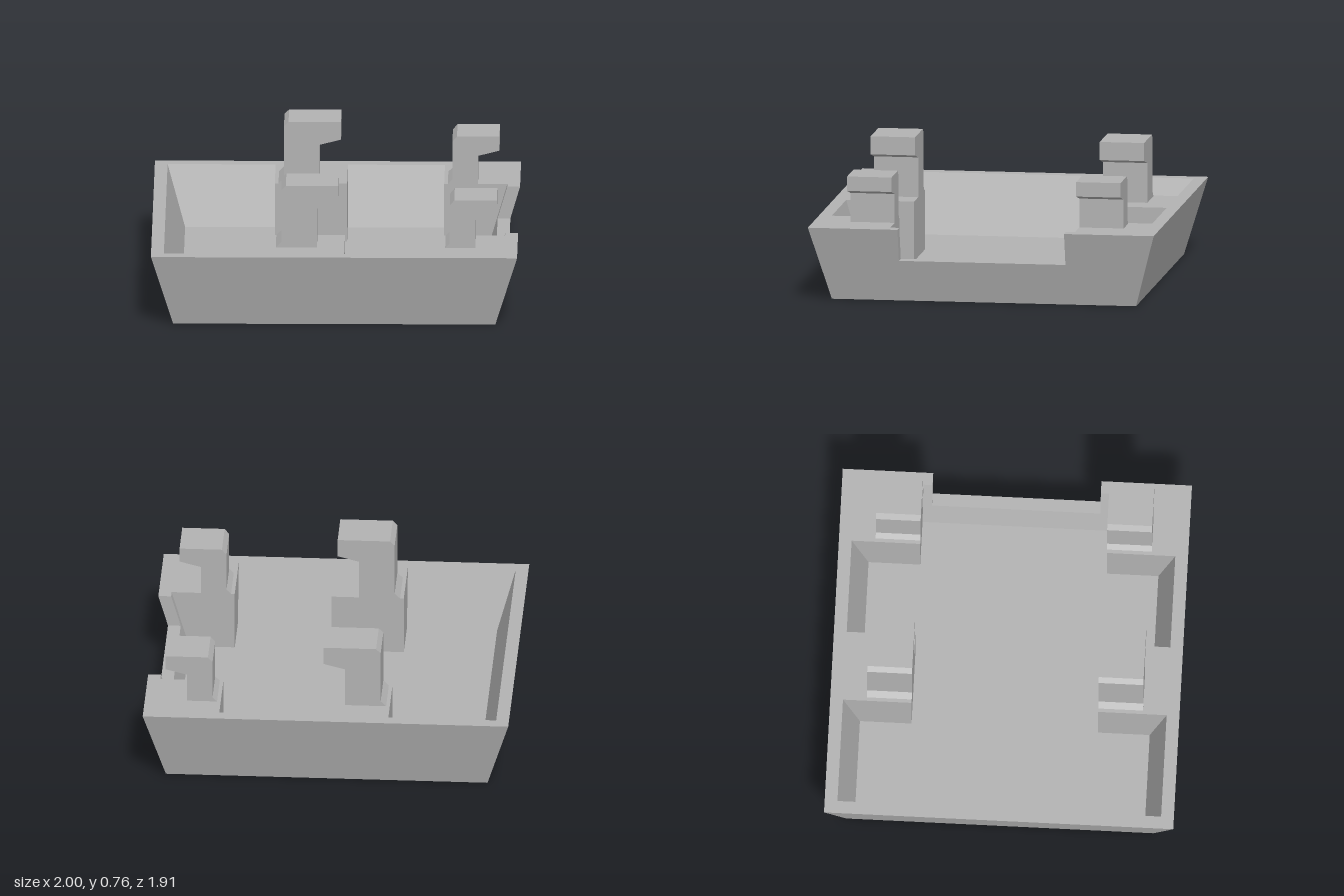
import * as THREE from 'three';

const RIM = 0.41, FLOOR = 0.08, NOTCH = 0.23, GROOVE = 0.015, WALL = 0.07;
// Sloping outer faces, and inner faces one wall thickness in
const X = (y) => 0.88 + (0.12 * y) / RIM;
const Z = (y) => 0.84 + (0.115 * y) / RIM;
const XI = (y) => X(y) - WALL;
const ZI = (y) => Z(y) - WALL;

// Six-sided solid whose x/z limits change with height; rect(y) gives [x0, x1, z0, z1]
function block(y0, y1, rect) {
  const geo = new THREE.BoxGeometry(2, 2, 2);
  const p = geo.attributes.position;
  for (let i = 0; i < p.count; i++) {
    const y = p.getY(i) < 0 ? y0 : y1;
    const [xa, xb, za, zb] = rect(y);
    p.setXYZ(i, p.getX(i) < 0 ? xa : xb, y, p.getZ(i) < 0 ? za : zb);
  }
  geo.computeVertexNormals();
  return geo;
}

const v2 = (pairs) => pairs.map(([x, y]) => new THREE.Vector2(x, y));
const curve = (pairs, closed = false) =>
  new THREE.CatmullRomCurve3(pairs.map(([x, z]) => new THREE.Vector3(x, z, 0)), closed);

// Outline of a line of constant width along a row of points
function stroke(points, half) {
  const a = [], b = [];
  points.forEach((p, i) => {
    const before = points[Math.max(i - 1, 0)], after = points[Math.min(i + 1, points.length - 1)];
    const dx = after.x - before.x, dy = after.y - before.y, l = Math.hypot(dx, dy);
    a.push(new THREE.Vector2(p.x - (dy / l) * half, p.y + (dx / l) * half));
    b.push(new THREE.Vector2(p.x + (dy / l) * half, p.y - (dx / l) * half));
  });
  return new THREE.Path(a.concat(b.reverse()));
}

// Each wing outline begins at its root beside the body
const WINGS = [
  [[0.28, -0.31], [0.47, -0.47], [0.69, -0.44], [0.78, -0.27], [0.78, -0.04], [0.66, 0.03], [0.48, -0.02], [0.3, -0.2]],
  [[0.2, -0.2], [0.42, 0], [0.63, 0.18], [0.59, 0.5], [0.52, 0.64], [0.38, 0.5], [0.25, 0.25], [0.17, -0.05]],
  [[0.19, -0.39], [0.21, -0.55], [0.13, -0.66], [-0.07, -0.56], [-0.31, -0.36], [-0.22, -0.34], [0, -0.29]],
  [[-0.03, -0.2], [-0.32, -0.27], [-0.58, -0.03], [-0.8, 0.23], [-0.65, 0.19], [-0.36, 0.07], [-0.1, -0.09]],
];

// Underside with an engraved butterfly
function underside() {
  const shape = new THREE.Shape(v2([[-0.88, -0.84], [0.88, -0.84], [0.88, 0.84], [-0.88, 0.84]]));
  for (const wing of WINGS) {
    const edge = curve(wing, true);
    const rim = [];
    for (let i = 0; i <= 56; i++) rim.push(edge.getPoint((i / 56) * 0.97));
    shape.holes.push(stroke(rim, 0.01));
    // veins follow the wing between its two long edges
    for (let k = 1; k <= 3; k++) {
      const vein = [];
      for (let s = 0.2; s < 0.41; s += 0.04)
        vein.push(edge.getPoint(s).lerp(edge.getPoint(1 - s), k / 4));
      shape.holes.push(stroke(vein, 0.006));
    }
  }
  // body and feelers
  const body = [];
  for (let i = 0; i < 20; i++) {
    const t = (i / 20) * Math.PI * 2, along = Math.cos(t) * 0.15, across = Math.sin(t) * 0.022;
    body.push(new THREE.Vector2(0.09 - 0.77 * along + 0.63 * across, -0.235 + 0.63 * along + 0.77 * across));
  }
  shape.holes.push(new THREE.Path(body));
  shape.holes.push(stroke(curve([[0.01, -0.09], [0.02, 0.02], [0.08, 0.18]]).getPoints(10), 0.008));
  shape.holes.push(stroke(curve([[-0.04, -0.08], [-0.05, -0.02], [-0.09, 0.04]]).getPoints(10), 0.008));

  const geo = new THREE.ExtrudeGeometry(shape, { depth: GROOVE, bevelEnabled: false });
  geo.rotateX(Math.PI / 2).translate(0, GROOVE, 0);
  // flare the edge to continue the sloping walls
  const p = geo.attributes.position;
  for (let i = 0; i < p.count; i++) {
    const y = p.getY(i);
    p.setX(i, (p.getX(i) * X(y)) / 0.88);
    p.setZ(i, (p.getZ(i) * Z(y)) / 0.84);
  }
  geo.computeVertexNormals();
  return geo;
}

const TALL_HOOK = [[-0.32, 0.41], [-0.095, 0.41], [-0.095, 0.63], [0.022, 0.66], [0.022, 0.76],
  [-0.265, 0.76], [-0.29, 0.735], [-0.29, 0.44]];
const SHORT_HOOK = [[0.605, 0.41], [0.77, 0.41], [0.77, 0.57], [0.887, 0.6], [0.887, 0.68],
  [0.655, 0.68], [0.63, 0.65], [0.63, 0.435]];

export function createModel() {
  const group = new THREE.Group();
  group.name = 'hookedTray';
  const grey = new THREE.MeshStandardMaterial({ color: 0xb2b2b2 });
  grey.name = 'grey';
  const add = (name, geo) => {
    const mesh = new THREE.Mesh(geo, grey);
    mesh.name = name;
    group.add(mesh);
  };

  // Base
  add('engravedUnderside', underside());
  add('trayFloor', block(GROOVE, FLOOR, (y) => [-X(y), X(y), -Z(y), Z(y)]));

  // Side walls
  add('closedWall', block(FLOOR, RIM, (y) => [-X(y), -XI(y), -ZI(y), ZI(y)]));
  add('notchedWall', block(FLOOR, NOTCH, (y) => [XI(y), X(y), -ZI(y), ZI(y)]));

  // Parts repeated at the front and back
  for (const side of [1, -1]) {
    const end = side > 0 ? 'front' : 'back';
    const span = (a, b) => (side > 0 ? [a, b] : [-b, -a]);
    add(end + 'Wall', block(FLOOR, RIM, (y) => [-X(y), X(y), ...span(ZI(y), Z(y))]));
    add(end + 'NotchCheek', block(NOTCH, RIM, (y) => [XI(y), X(y), ...span(0.46, ZI(y))]));
    add(end + 'MiddlePedestal', block(FLOOR, RIM, (y) => [-0.34, 0.055, ...span(0.51, ZI(y))]));
    add(end + 'CornerPedestal', block(FLOOR, RIM, (y) => [0.585, XI(y), ...span(0.51, ZI(y))]));
    for (const [name, profile] of [['TallHook', TALL_HOOK], ['ShortHook', SHORT_HOOK]]) {
      const geo = new THREE.ExtrudeGeometry(new THREE.Shape(v2(profile)), { depth: 0.245, bevelEnabled: false });
      geo.translate(0, 0, side > 0 ? 0.51 : -0.755);
      add(end + name, geo);
    }
  }
  return group;
}
